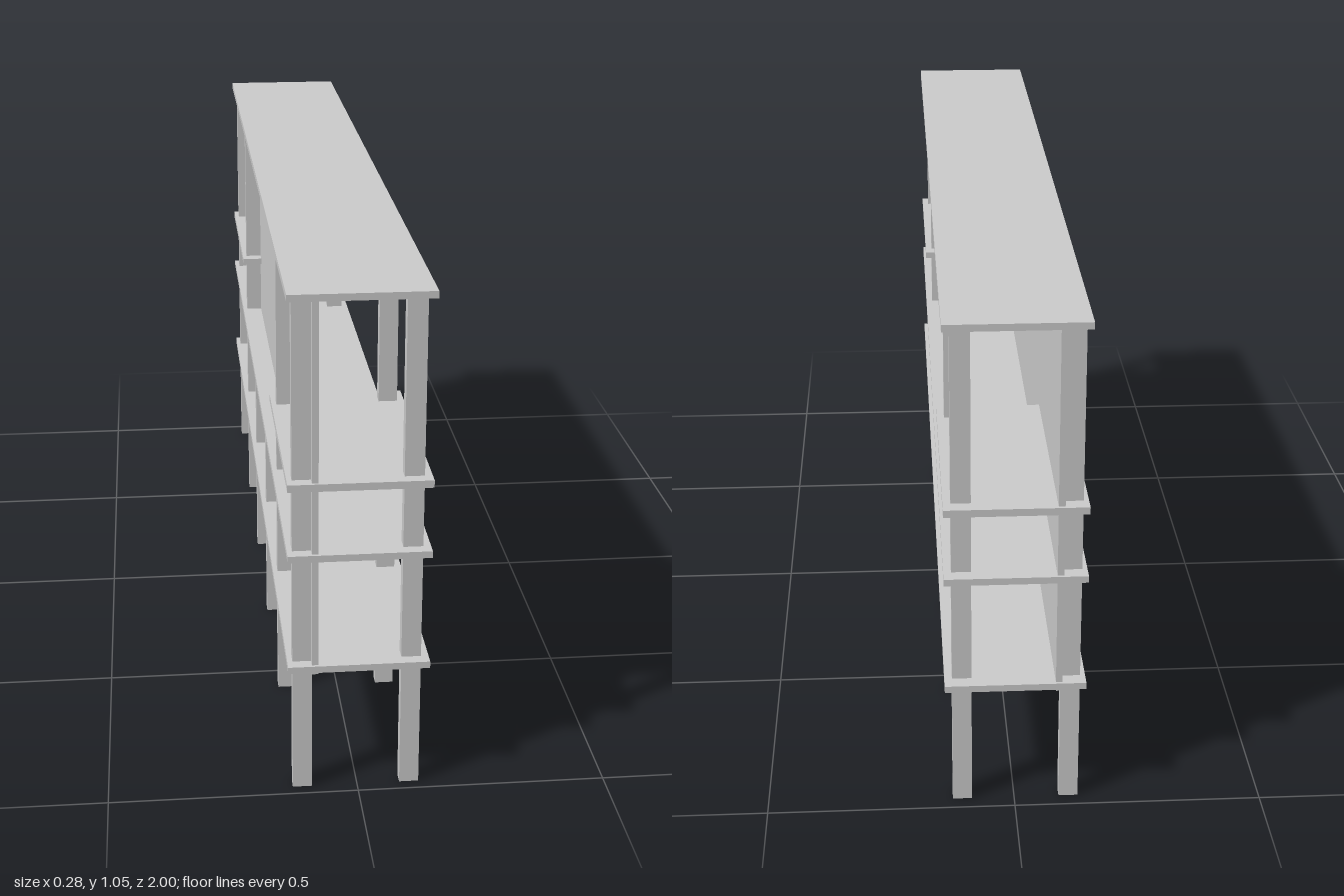
import * as THREE from 'three';

const material = new THREE.MeshStandardMaterial({ color: 0xcccccc, flatShading: true });

// Box given by its min/max extents on each axis
function addBox(parent, name, [x0, x1], [y0, y1], [z0, z1]) {
  const mesh = new THREE.Mesh(new THREE.BoxGeometry(x1 - x0, y1 - y0, z1 - z0), material);
  mesh.position.set((x0 + x1) / 2, (y0 + y1) / 2, (z0 + z1) / 2);
  mesh.name = name;
  parent.add(mesh);
}

export function createModel() {
  const model = new THREE.Group();
  model.name = 'shelvingUnit';

  const depth = [-0.14, 0.14];
  const full = [-1, 1];
  const topUnderside = 1.033;
  const counterUnderside = 0.51;

  // Full-length boards
  addBox(model, 'lowerShelf', depth, [0.271, 0.285], full);
  addBox(model, 'counterShelf', depth, [counterUnderside, 0.524], full);
  addBox(model, 'topBoard', depth, [topUnderside, 1.047], full);

  // Short shelves at both ends
  addBox(model, 'endShelf', depth, [0.657, 0.672], [0.513, 1]);
  addBox(model, 'endShelf', depth, [0.657, 0.672], [-1, -0.509]);

  // Thin panel along one long side
  addBox(model, 'backPanel', [-0.093, -0.08], [0.265, topUnderside], [-0.994, 0.994]);

  // Two rows of posts: outer ones reach the top, middle ones stop at the counter
  const posts = new THREE.Group();
  posts.name = 'posts';
  model.add(posts);
  for (const x of [[-0.13, -0.091], [0.086, 0.125]]) {
    for (const z of [0.962, 0.56, 0.19, -0.182, -0.553, -0.957]) {
      const short = Math.abs(z) < 0.3;
      addBox(posts, short ? 'shortPost' : 'tallPost', x,
        [0, short ? counterUnderside : topUnderside], [z - 0.0135, z + 0.0135]);
    }
  }
  return model;
}
